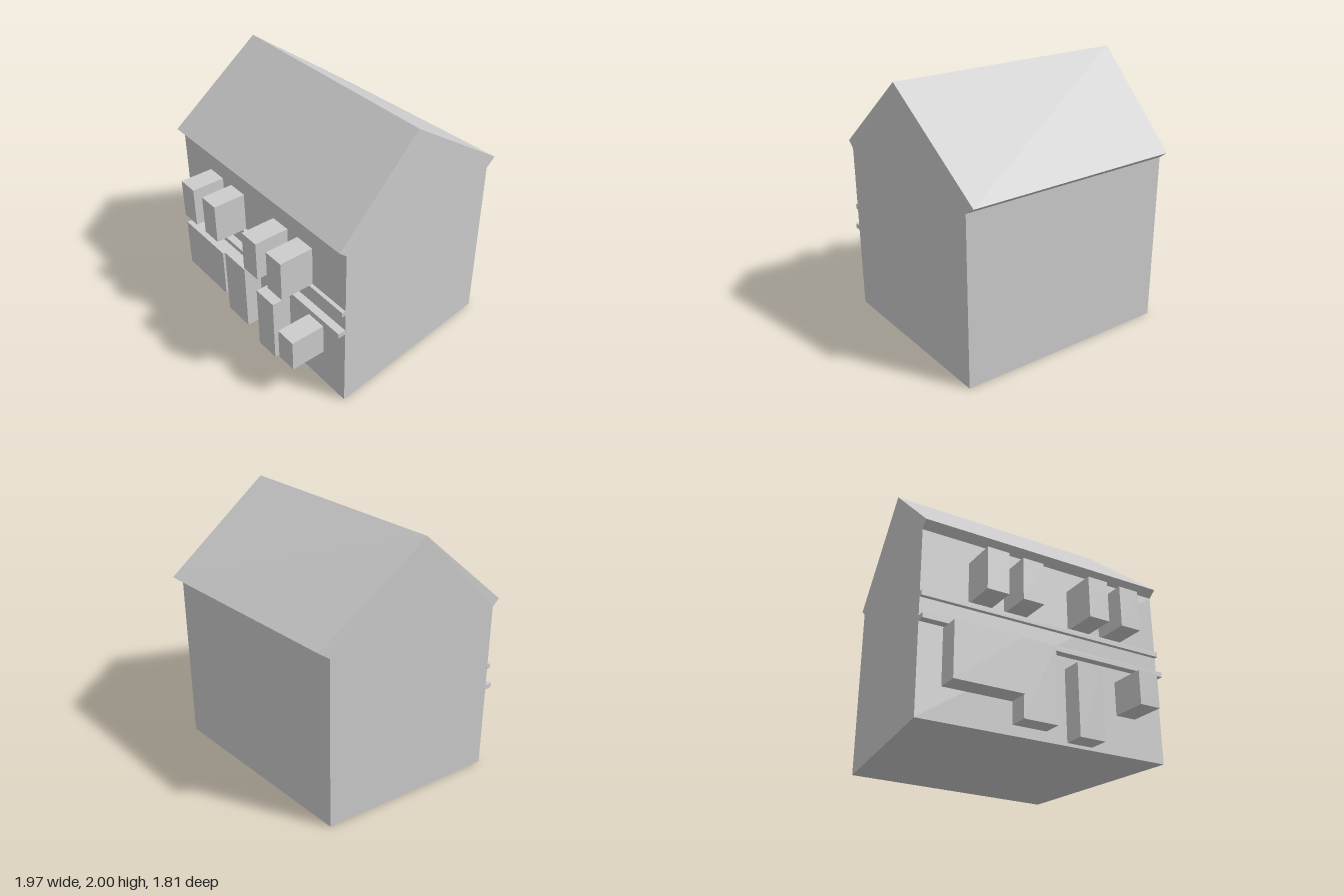
import * as THREE from 'three';

const plaster = new THREE.MeshStandardMaterial({ color: 0xcccccc });
plaster.name = 'light grey plaster';

// Solid between two matching end sections (front, over the top, to the back);
// the caps are fans around the point with index `hub`.
function loft(name, left, right, hub) {
  const n = left.length, pos = [];
  const tri = (a, b, c) => pos.push(...a, ...b, ...c);
  for (let i = 0; i < n; i++) {
    const j = (i + 1) % n;
    tri(left[i], right[i], right[j]);
    tri(left[i], right[j], left[j]);
    if (i !== hub && j !== hub) {
      tri(left[hub], left[i], left[j]);
      tri(right[hub], right[j], right[i]);
    }
  }
  const geo = new THREE.BufferGeometry();
  geo.setAttribute('position', new THREE.Float32BufferAttribute(pos, 3));
  geo.computeVertexNormals();
  const mesh = new THREE.Mesh(geo, plaster);
  mesh.name = name;
  return mesh;
}

// Block standing out from the front wall to depth z
const WALL = 0.63;
function block(name, x0, x1, y0, y1, z) {
  const back = WALL - 0.01;
  const mesh = new THREE.Mesh(new THREE.BoxGeometry(x1 - x0, y1 - y0, z - back), plaster);
  mesh.position.set((x0 + x1) / 2, (y0 + y1) / 2, (z + back) / 2);
  mesh.name = name;
  return mesh;
}

export function createModel() {
  const house = new THREE.Group();
  house.name = 'house';

  // Walls: the plan narrows towards a slightly skewed back
  const wallEnd = (s, xb, zb) => [
    [s * 0.98, 0, WALL], [s * 0.98, 1.335, WALL], [xb, 1.335, zb], [xb, 0, zb],
  ];
  house.add(loft('walls', wallEnd(-1, -0.83, -0.76), wallEnd(1, 0.85, -0.82), 0));

  // Gabled roof with sloping eave undersides
  const roofEnd = (s, xr, xw, zw, xe, ze) => [
    [s * 0.98, 1.335, WALL], [s * 0.983, 1.385, 0.688], [xr, 2, -0.01],
    [xe, 1.395, ze], [xw, 1.335, zw],
  ];
  house.add(loft('roof',
    roofEnd(-1, -0.908, -0.83, -0.76, -0.82, -0.84),
    roofEnd(1, 0.92, 0.85, -0.82, 0.842, -0.905), 2));

  // Horizontal ledges across the front
  house.add(block('lowerLedge', -0.98, 0.98, 0.65, 0.688, 0.69));
  house.add(block('upperLedge', -0.98, 0.98, 0.825, 0.863, 0.66));

  // Upper windows
  [[-0.622, 0.89], [-0.345, 0.885], [0.185, 0.9], [0.462, 0.895]].forEach(([x, z], i) =>
    house.add(block('upperWindow' + (i + 1), x, x + 0.164, 0.863, 1.175, z)));

  // Ground floor openings
  house.add(block('shopWindow', -0.803, -0.284, 0.236, 0.64, 0.79));
  house.add(block('shopDoor', -0.282, -0.02, 0.075, 0.64, 0.772));
  house.add(block('houseDoor', 0.146, 0.35, 0.023, 0.556, 0.783));
  house.add(block('smallWindow', 0.578, 0.742, 0.295, 0.546, 0.902));

  return house;
}
